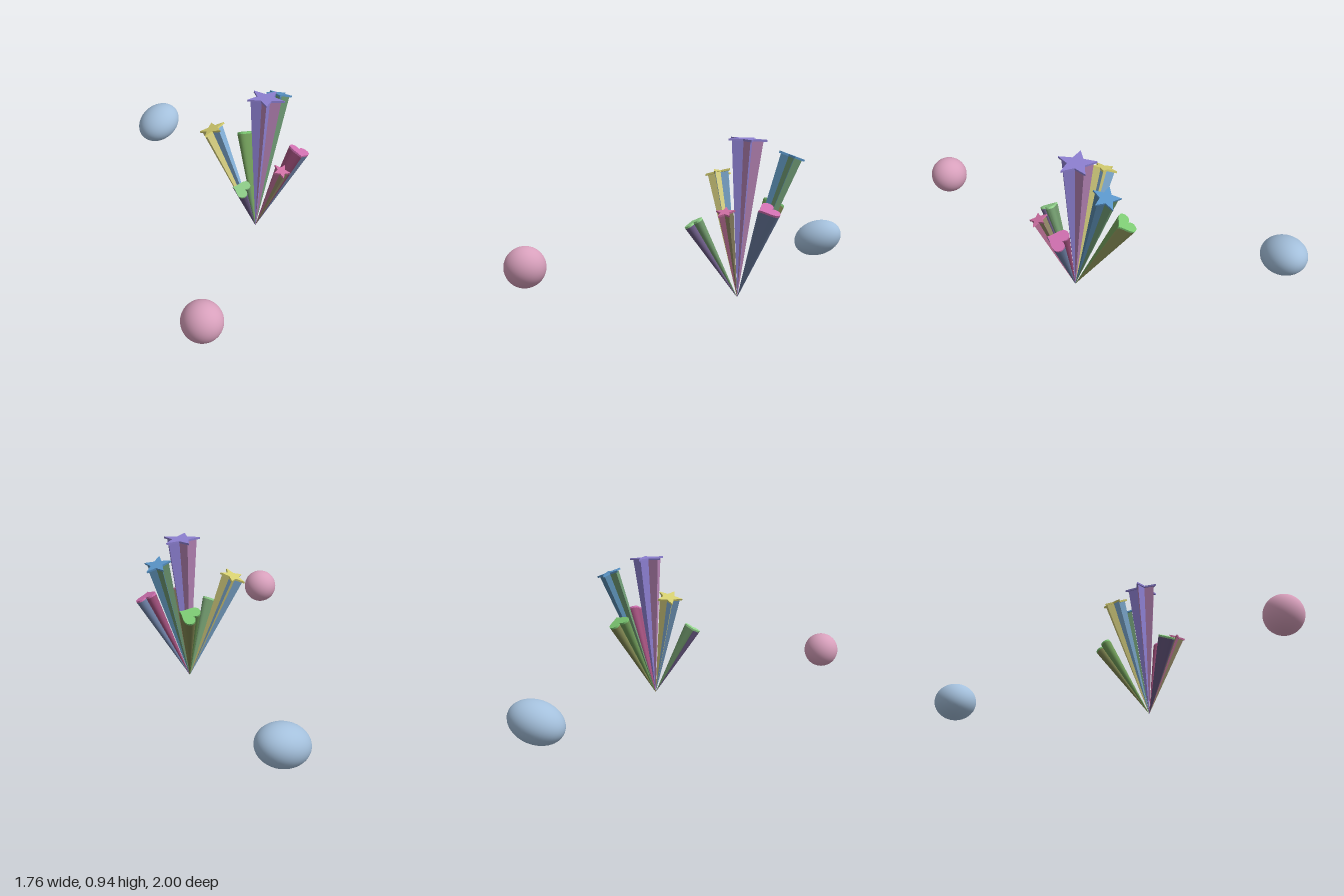
import * as THREE from 'three';
import { toCreasedNormals } from 'three/addons/utils/BufferGeometryUtils.js';

const UP = new THREE.Vector3(0, 1, 0);
const APEX = new THREE.Vector3(0.34, 0, 0.38);
const CAP = 0.012;

function starOutline(r) {
  const pts = [];
  for (let i = 0; i < 10; i++) {
    const a = (i * Math.PI) / 5;
    const d = i % 2 ? r * 0.45 : r;
    pts.push(new THREE.Vector2(Math.cos(a) * d, Math.sin(a) * d));
  }
  return pts;
}

function heartOutline(r) {
  const pts = [];
  for (let i = 0; i < 40; i++) {
    const t = (-i * Math.PI * 2) / 40;
    const x = 16 * Math.sin(t) ** 3;
    const y = 13 * Math.cos(t) - 5 * Math.cos(2 * t) - 2 * Math.cos(3 * t) - Math.cos(4 * t) + 2.5;
    pts.push(new THREE.Vector2((x * r) / 16, (y * r) / 16));
  }
  return pts;
}

function makeMesh(name, geometry, color, side = THREE.FrontSide) {
  const mesh = new THREE.Mesh(geometry, new THREE.MeshStandardMaterial({ color, side }));
  mesh.name = name;
  return mesh;
}

// Triangular side panels fanning from the tip up to the outline
function panels(pts, height, pick) {
  const pos = [];
  pts.forEach((p, i) => {
    if (!pick(i)) return;
    const q = pts[(i + 1) % pts.length];
    pos.push(0, 0, 0, q.x, height, -q.y, p.x, height, -p.y);
  });
  const geo = new THREE.BufferGeometry();
  geo.setAttribute('position', new THREE.Float32BufferAttribute(pos, 3));
  return toCreasedNormals(geo, 0.5);
}

// One flared spike: two-tone tapering sides and a flat shaped cap
function spike({ name, kind, top, r, spin, cap, sides }) {
  const group = new THREE.Group();
  group.name = name;
  const dir = new THREE.Vector3(...top).sub(APEX);
  const length = dir.length();
  const isStar = kind === 'star';
  const outline = isStar ? starOutline(r) : heartOutline(r);
  const body = outline.map((p) => p.clone().multiplyScalar(isStar ? 0.82 : 1));

  const first = isStar ? (i) => i % 2 === 0 : (i) => i < 20;
  group.add(makeMesh('sidePanelsA', panels(body, length - CAP, first), sides[0], THREE.DoubleSide));
  group.add(makeMesh('sidePanelsB', panels(body, length - CAP, (i) => !first(i)), sides[1], THREE.DoubleSide));

  const capGeo = new THREE.ExtrudeGeometry(new THREE.Shape(outline), { depth: CAP, bevelEnabled: false });
  capGeo.rotateX(-Math.PI / 2).translate(0, length - CAP, 0);
  group.add(makeMesh('cap', capGeo, cap));

  group.position.copy(APEX);
  group.quaternion.setFromUnitVectors(UP, dir.normalize());
  group.rotateY(THREE.MathUtils.degToRad(spin));
  return group;
}

export function createModel() {
  const model = new THREE.Group();
  model.name = 'burstWithBalls';

  const burst = new THREE.Group();
  burst.name = 'burst';
  const spikes = [
    { name: 'tallStarSpike', kind: 'star', top: [0.385, 0.93, 0.365], r: 0.118, spin: 4, cap: 0x8c7fd0, sides: [0x8c7fd0, 0xb583b4] },
    { name: 'blueStarSpike', kind: 'star', top: [0.63, 0.835, 0.285], r: 0.085, spin: 5, cap: 0x5a95c8, sides: [0x5585a8, 0x6f9a74] },
    { name: 'yellowStarSpike', kind: 'star', top: [0.18, 0.705, 0.12], r: 0.085, spin: 45, cap: 0xd6cf70, sides: [0xd6cf80, 0x86b4dc] },
    { name: 'pinkStarSpike', kind: 'star', top: [0.302, 0.54, 0.58], r: 0.057, spin: 90, cap: 0xd070a4, sides: [0xb0688c, 0x948a68] },
    { name: 'pinkHeartSpike', kind: 'heart', top: [0.533, 0.555, 0.548], r: 0.068, spin: 315, cap: 0xd070b0, sides: [0xa0507c, 0x6a7ca0] },
    { name: 'greenHeartSpike', kind: 'heart', top: [0.528, 0.535, 0.133], r: 0.068, spin: 25, cap: 0x7cc872, sides: [0x6f9a58, 0x7e8450] },
    { name: 'paleHeartSpike', kind: 'heart', top: [0.087, 0.45, 0.437], r: 0.057, spin: 198, cap: 0x96d890, sides: [0x70986c, 0x6a5a84] },
  ];
  spikes.forEach((s) => burst.add(spike(s)));
  model.add(burst);

  // Pink ball at the front right
  const ball = makeMesh('pinkBall', new THREE.SphereGeometry(0.117, 40, 28), 0xd8a0bc);
  ball.position.set(-0.761, 0.242, 0.883);
  model.add(ball);

  // Tilted blue egg at the back left
  const egg = makeMesh('blueEgg', new THREE.SphereGeometry(1, 40, 28), 0xa4c0dc);
  egg.scale.set(0.169, 0.122, 0.1375);
  egg.rotation.z = THREE.MathUtils.degToRad(20);
  egg.position.set(0.714, 0.129, -0.8625);
  model.add(egg);

  return model;
}
